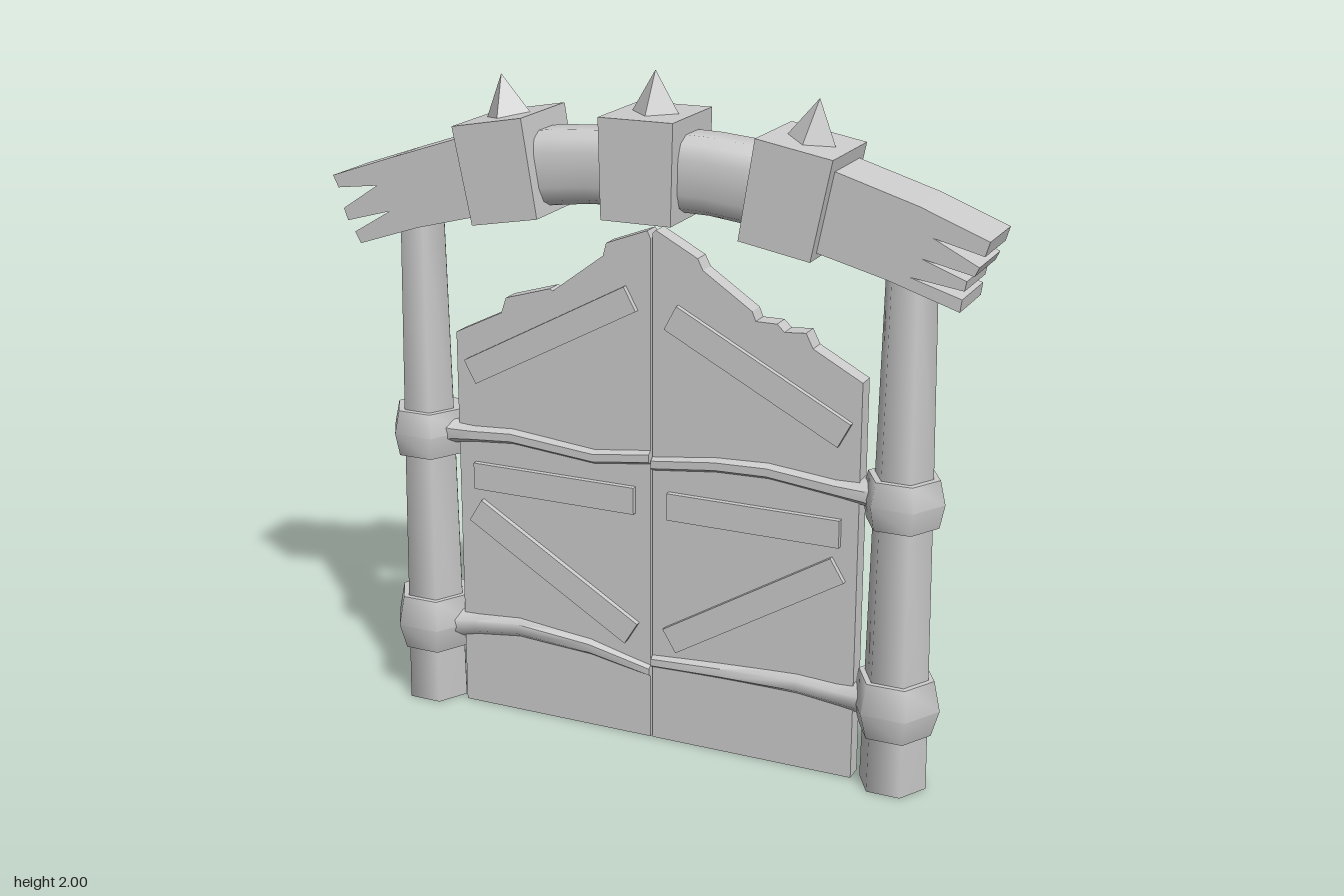
import * as THREE from 'three';
import { toCreasedNormals } from 'three/addons/utils/BufferGeometryUtils.js';

const material = new THREE.MeshStandardMaterial({ color: 0xcccccc });

function add(parent, name, geometry, x = 0, y = 0, z = 0, rotZ = 0) {
  const mesh = new THREE.Mesh(geometry, material);
  mesh.name = name;
  mesh.position.set(x, y, z);
  mesh.rotation.z = rotZ;
  parent.add(mesh);
  return mesh;
}

// Flat outline given thickness, centred on z = 0
function slab(points, depth) {
  const shape = new THREE.Shape(points.map(([x, y]) => new THREE.Vector2(x, y)));
  const geo = new THREE.ExtrudeGeometry(shape, { depth, bevelEnabled: false });
  return geo.translate(0, 0, -depth / 2);
}

// Skin over rings in the yz plane; each section is [x, y, halfHeight, halfDepth], x rising
function loft(sections, sides, power = 1) {
  const pos = [], index = [];
  const soft = (v) => Math.sign(v) * Math.abs(v) ** power;
  for (const [x, y, hy, hz] of sections) {
    for (let j = 0; j < sides; j++) {
      const a = ((j + 0.5) / sides) * Math.PI * 2;
      pos.push(x, y + hy * soft(Math.cos(a)), hz * soft(Math.sin(a)));
    }
  }
  const last = (sections.length - 1) * sides;
  for (let i = 0; i < last; i += sides) {
    for (let j = 0; j < sides; j++) {
      const k = (j + 1) % sides;
      index.push(i + j, i + k, i + sides + j, i + k, i + sides + k, i + sides + j);
    }
  }
  for (let j = 1; j < sides - 1; j++) {
    index.push(0, j + 1, j, last, last + j, last + j + 1);
  }
  const geo = new THREE.BufferGeometry();
  geo.setAttribute('position', new THREE.Float32BufferAttribute(pos, 3));
  geo.setIndex(index);
  return toCreasedNormals(geo, 0.9);
}

// Six-sided turned part with corners towards +x and -x
function turned(profile) {
  const points = profile.map(([r, y]) => new THREE.Vector2(r, y));
  return toCreasedNormals(new THREE.LatheGeometry(points, 6).rotateY(Math.PI / 2), 1.1);
}

function addPosts(group) {
  for (const side of [-1, 1]) {
    const post = new THREE.Group();
    post.name = side > 0 ? 'leftPost' : 'rightPost';
    post.position.x = side * 0.748;
    add(post, 'shaft', turned([[0, 0], [0.1, 0], [0.086, 0.85], [0.072, 1.56], [0, 1.56]]));
    add(post, 'lowerCollar', turned([[0.08, 0.17], [0.108, 0.17], [0.131, 0.25], [0.112, 0.34], [0.08, 0.34]]));
    add(post, 'upperCollar', turned([[0.07, 0.8], [0.106, 0.8], [0.12, 0.87], [0.104, 0.94], [0.07, 0.94]]));
    group.add(post);
  }
}

function addDoors(group) {
  const rightDoor = [[-0.63, 0], [-0.003, 0], [-0.003, 1.535], [-0.013, 1.556], [-0.14, 1.508],
    [-0.15, 1.47], [-0.31, 1.35], [-0.32, 1.355], [-0.463, 1.312], [-0.479, 1.265], [-0.63, 1.19]];
  const leftDoor = [[0.003, 0], [0.63, 0], [0.63, 1.196], [0.484, 1.275], [0.463, 1.317], [0.4, 1.312],
    [0.378, 1.333], [0.315, 1.333], [0.304, 1.36], [0.156, 1.46], [0.14, 1.492], [0.013, 1.56], [0.003, 1.55]];
  add(group, 'rightDoor', slab(rightDoor, 0.056));
  add(group, 'leftDoor', slab(leftDoor, 0.056));

  // Boards nailed on the front: x, y, length, width, angle
  const boards = [
    [-0.32, 1.217, 0.59, 0.078, 0.495], [0.325, 1.18, 0.59, 0.08, -0.485],
    [-0.313, 0.752, 0.525, 0.082, 0], [0.317, 0.752, 0.525, 0.082, 0],
    [-0.317, 0.487, 0.6, 0.08, -0.545], [0.32, 0.487, 0.6, 0.08, 0.545],
  ];
  for (const [x, y, length, width, angle] of boards) {
    add(group, 'frontBoard', new THREE.BoxGeometry(length, width, 0.03), x, y, 0.03, angle);
  }
}

function addHinges(group) {
  // Tapering arms from each collar to the middle: x, y, halfHeight, halfDepth
  const arms = {
    upperRightHinge: [[-0.72, 0.875, 0.062, 0.06], [-0.65, 0.877, 0.04, 0.055], [-0.58, 0.88, 0.033, 0.05],
      [-0.45, 0.89, 0.031, 0.05], [-0.18, 0.866, 0.03, 0.048], [-0.003, 0.89, 0.03, 0.045]],
    upperLeftHinge: [[0.003, 0.872, 0.03, 0.045], [0.2, 0.897, 0.03, 0.048], [0.36, 0.903, 0.031, 0.05],
      [0.56, 0.882, 0.033, 0.05], [0.65, 0.877, 0.04, 0.055], [0.72, 0.875, 0.062, 0.06]],
    lowerRightHinge: [[-0.72, 0.255, 0.072, 0.07], [-0.65, 0.253, 0.048, 0.058], [-0.58, 0.262, 0.043, 0.052],
      [-0.44, 0.277, 0.04, 0.05], [-0.2, 0.258, 0.034, 0.048], [-0.003, 0.217, 0.026, 0.045]],
    lowerLeftHinge: [[0.003, 0.25, 0.028, 0.045], [0.22, 0.26, 0.033, 0.048], [0.46, 0.266, 0.04, 0.05],
      [0.58, 0.256, 0.043, 0.052], [0.65, 0.253, 0.048, 0.058], [0.72, 0.255, 0.072, 0.07]],
  };
  for (const [name, sections] of Object.entries(arms)) {
    add(group, name, loft(sections, 8));
    // Rivets along the back of the arm
    const side = Math.sign(sections[2][0]);
    for (let i = 0; i < 5; i++) {
      const x = side * (0.08 + i * 0.115);
      const k = sections.findIndex((s) => s[0] > x);
      const [a, b] = [sections[k - 1], sections[k]];
      const y = THREE.MathUtils.mapLinear(x, a[0], b[0], a[1], b[1]);
      add(group, 'rivet', new THREE.SphereGeometry(0.013, 8, 6), x, y, -0.046);
    }
  }
}

function addBeam(group) {
  const beam = new THREE.Group();
  beam.name = 'archBeam';
  add(beam, 'beamMiddle', loft([
    [-0.5, 1.675, 0.115, 0.097], [-0.3, 1.712, 0.11, 0.097], [-0.18, 1.723, 0.106, 0.093],
    [0, 1.732, 0.11, 0.097], [0.18, 1.728, 0.11, 0.097], [0.3, 1.715, 0.112, 0.097], [0.5, 1.675, 0.115, 0.097],
  ], 12, 0.6));
  // Splintered ends
  const rightEnd = [[-0.42, 1.8], [-0.56, 1.785], [-0.79, 1.708], [-0.987, 1.64], [-0.97, 1.605], [-0.84, 1.622],
    [-0.955, 1.545], [-0.942, 1.51], [-0.8, 1.55], [-0.92, 1.478], [-0.902, 1.445], [-0.71, 1.51], [-0.52, 1.56], [-0.42, 1.58]];
  const leftEnd = [[0.42, 1.8], [0.56, 1.785], [0.79, 1.715], [0.982, 1.64], [0.97, 1.6], [0.83, 1.635],
    [0.957, 1.57], [0.945, 1.545], [0.8, 1.578], [0.925, 1.53], [0.92, 1.503], [0.77, 1.525],
    [0.915, 1.48], [0.91, 1.445], [0.71, 1.51], [0.52, 1.56], [0.42, 1.58]];
  add(beam, 'rightBeamEnd', slab(rightEnd, 0.194));
  add(beam, 'leftBeamEnd', slab(leftEnd, 0.194));
  group.add(beam);

  // Cuffs with a four-sided spike on top
  for (const [x, y, angle] of [[-0.43, 1.703, 0.18], [0, 1.742, 0], [0.43, 1.703, -0.18]]) {
    const cuff = new THREE.Group();
    cuff.name = 'spikedCuff';
    cuff.position.set(x, y, 0);
    cuff.rotation.z = angle;
    const box = slab([[-0.105, -0.142], [0.105, -0.142], [0.111, 0.142], [-0.111, 0.142]], 0.27);
    add(cuff, 'cuff', box);
    const spike = new THREE.ConeGeometry(0.078, 0.13, 4).toNonIndexed();
    spike.computeVertexNormals();
    add(cuff, 'spike', spike, 0, 0.193, 0);
    group.add(cuff);
  }
}

export function createModel() {
  const group = new THREE.Group();
  group.name = 'saloonGate';
  addPosts(group);
  addDoors(group);
  addHinges(group);
  addBeam(group);
  return group;
}
